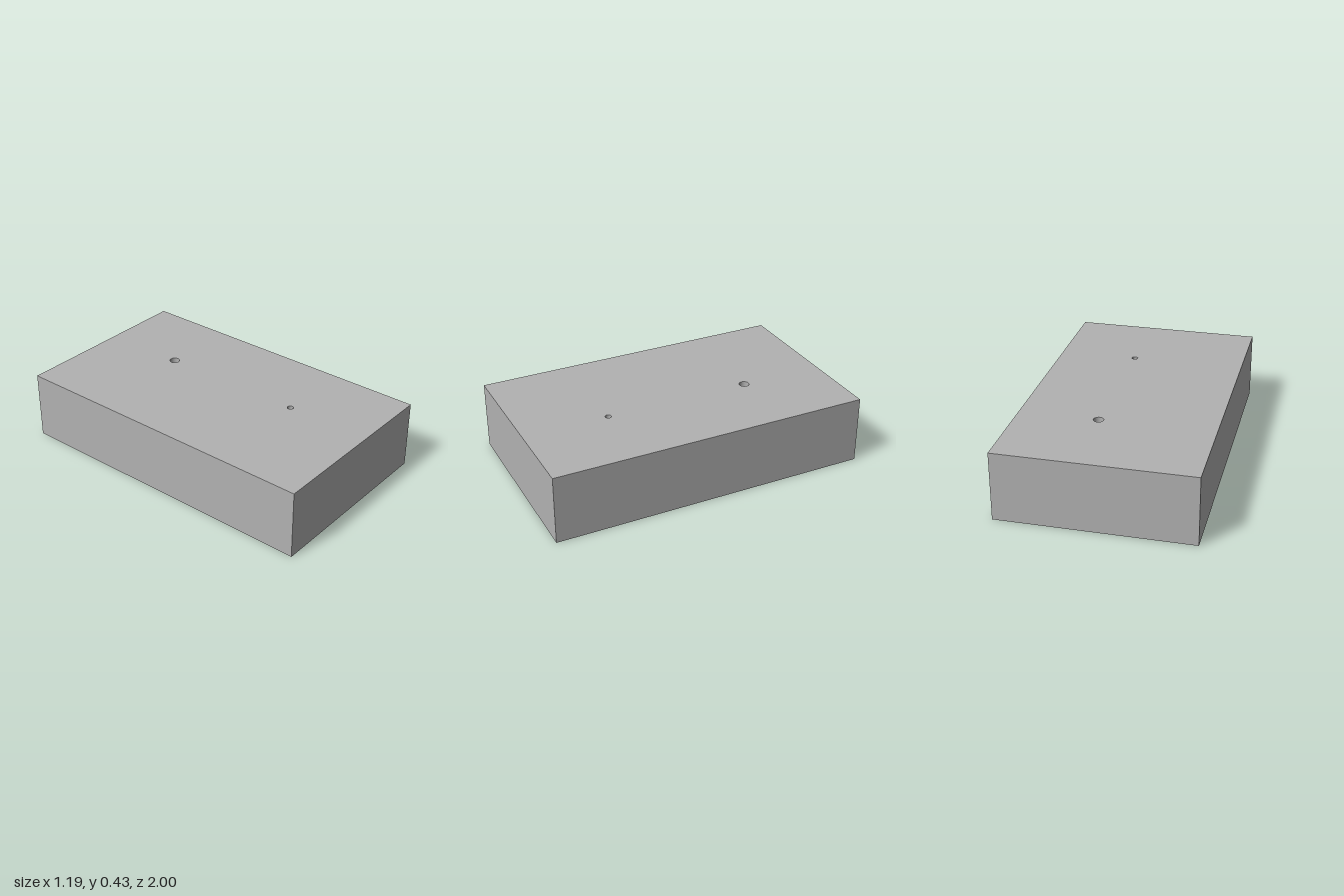
import * as THREE from 'three';

const W = 0.595, H = 0.427, L = 1;            // half width, height, half length
const PX = 0.17, PZ = 0.563, R = 0.17;        // pocket half width, half length, end radius = depth
const FLAT = PZ - R;                          // half length of the flat pocket roof
const BOLT = { r: 0.08, x: 0.418, z: 0.826, depth: 0.3 };
const PORTS = [{ x: 0.107, z: -0.465, r: 0.031 }, { x: 0.107, z: 0.46, r: 0.019 }];

// Height and slope angle of the pocket roof at a given z
const angleAt = z => Math.asin(Math.min(1, Math.max(0, Math.abs(z) - FLAT) / R));
const roofAt = z => R * Math.cos(angleAt(z));

function rect(x0, x1, z0, z1) {
  return new THREE.Shape([[x0, z0], [x1, z0], [x1, z1], [x0, z1]].map(p => new THREE.Vector2(...p)));
}
function circle(x, z, r) {
  return new THREE.Path().absarc(x, z, r, 0, Math.PI * 2, true);
}

export function createModel() {
  const group = new THREE.Group();
  const grey = new THREE.MeshStandardMaterial({ color: 0xb2b2b2, side: THREE.DoubleSide });
  grey.name = 'plain grey';
  const add = (name, geometry) => {
    const mesh = new THREE.Mesh(geometry, grey);
    mesh.name = name;
    group.add(mesh);
    return mesh;
  };

  // Outer walls
  for (const s of [1, -1]) {
    const end = add('endWall', new THREE.PlaneGeometry(2 * W, H));
    end.position.set(0, H / 2, s * L);
    end.rotation.y = s > 0 ? 0 : Math.PI;
    const side = add('sideWall', new THREE.PlaneGeometry(2 * L, H));
    side.position.set(s * W, H / 2, 0);
    side.rotation.y = s * Math.PI / 2;
  }

  // Top face with the two ports (shape y becomes -z)
  const top = rect(-W, W, -L, L);
  PORTS.forEach(p => top.holes.push(circle(p.x, -p.z, p.r)));
  add('topFace', new THREE.ShapeGeometry(top, 32).rotateX(-Math.PI / 2).translate(0, H, 0));

  // Underside with pocket opening and bolt holes (shape y becomes z)
  const bottom = rect(-W, W, -L, L);
  bottom.holes.push(rect(-PX, PX, -PZ, PZ));
  for (const sx of [1, -1]) for (const sz of [1, -1]) {
    const x = sx * BOLT.x, z = sz * BOLT.z;
    bottom.holes.push(circle(x, z, BOLT.r));
    add('boltHoleWall', new THREE.CylinderGeometry(BOLT.r, BOLT.r, BOLT.depth, 64, 1, true)
      .translate(x, BOLT.depth / 2, z));
    add('boltHoleEnd', new THREE.CircleGeometry(BOLT.r, 64).rotateX(Math.PI / 2)
      .translate(x, BOLT.depth, z));
  }
  add('underside', new THREE.ShapeGeometry(bottom, 32).rotateX(Math.PI / 2));

  // Pocket roof in strips, bent down at both ends; a port pierces one strip per end
  const strip = (z0, z1, port) => {
    const shape = rect(-PX, PX, Math.min(z0, z1), Math.max(z0, z1));
    if (port) shape.holes.push(circle(port.x, port.z, port.r));
    const geo = new THREE.ShapeGeometry(shape, 32);
    const pos = geo.attributes.position, nor = geo.attributes.normal;
    for (let i = 0; i < pos.count; i++) {
      const x = pos.getX(i), z = pos.getY(i), a = angleAt(z);
      pos.setXYZ(i, x, roofAt(z), z);
      nor.setXYZ(i, 0, -Math.cos(a), -Math.sign(z) * Math.sin(a));
    }
    add('pocketRoof', geo);
  };
  strip(-FLAT, FLAT);
  const cuts = [0, 5, 10, 43, 50, 58, 66, 74, 82, 90]
    .map(d => FLAT + R * Math.sin(THREE.MathUtils.degToRad(d)));
  PORTS.forEach(port => {
    const s = Math.sign(port.z);
    for (let i = 0; i < cuts.length - 1; i++) strip(s * cuts[i], s * cuts[i + 1], i === 2 ? port : null);
  });

  // Pocket side walls: flat profile with two rounded corners
  const profile = new THREE.Shape();
  profile.moveTo(-PZ, 0);
  profile.lineTo(PZ, 0);
  profile.absarc(FLAT, 0, R, 0, Math.PI / 2, false);
  profile.absarc(-FLAT, 0, R, Math.PI / 2, Math.PI, false);
  for (const s of [1, -1]) {
    const wall = add('pocketSide', new THREE.ShapeGeometry(profile, 24));
    wall.rotation.y = -s * Math.PI / 2;
    wall.position.x = s * PX;
  }

  // Port bores, their lower rims following the pocket roof
  PORTS.forEach(p => {
    const geo = new THREE.CylinderGeometry(p.r, p.r, 1, 64, 1, true).translate(p.x, 0, p.z);
    const pos = geo.attributes.position;
    for (let i = 0; i < pos.count; i++) pos.setY(i, pos.getY(i) > 0 ? H : roofAt(pos.getZ(i)));
    add('portBore', geo);
  });

  return group;
}
